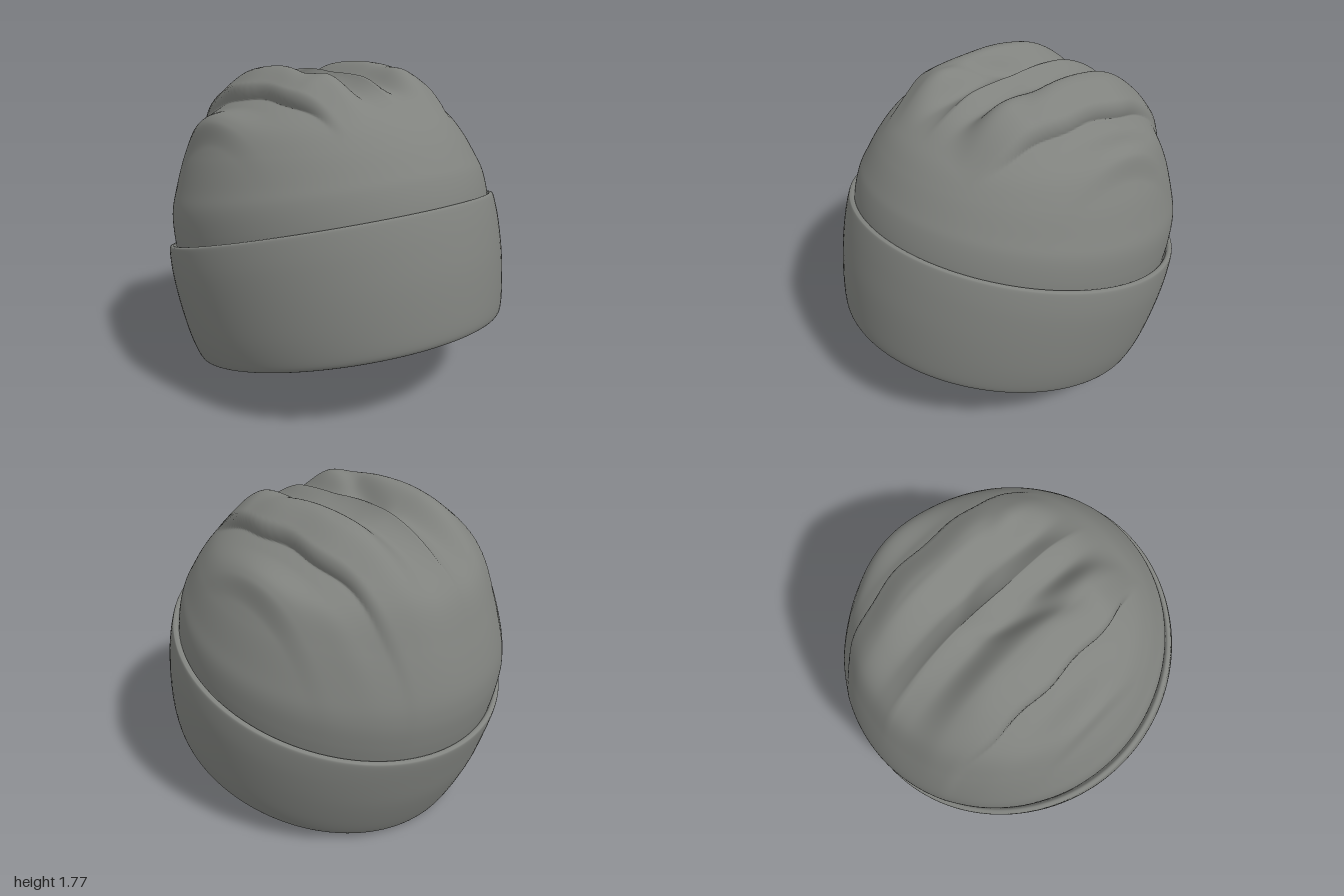
import * as THREE from 'three';
import { mergeVertices } from 'three/addons/utils/BufferGeometryUtils.js';

const { smoothstep } = THREE.MathUtils;
const gauss = (v, w) => Math.exp(-((v / w) ** 2));

// Surface through tilted oval rings: [front z, front y, back z, back y, half width]
function loft(rings, steps, sides, shape) {
  const front = new THREE.CatmullRomCurve3(rings.map(r => new THREE.Vector3(r[4], r[1], r[0])), false, 'catmullrom', 0.5);
  const back = new THREE.CatmullRomCurve3(rings.map(r => new THREE.Vector3(0, r[3], r[2])), false, 'catmullrom', 0.5);
  const rows = (rings.length - 1) * steps;
  const pos = [], index = [];
  for (let i = 0; i <= rows; i++) {
    const f = front.getPoint(i / rows), b = back.getPoint(i / rows);
    for (let j = 0; j < sides; j++) {
      const a = (j / sides) * Math.PI * 2, k = (1 + Math.cos(a)) / 2;
      const p = new THREE.Vector3(f.x * Math.sin(a), b.y + (f.y - b.y) * k, b.z + (f.z - b.z) * k);
      if (shape) shape(p);
      pos.push(p.x, p.y, p.z);
      if (i < rows) {
        const j2 = (j + 1) % sides, r = i * sides, s = r + sides;
        index.push(r + j, r + j2, s + j, r + j2, s + j2, s + j);
      }
    }
  }
  let geo = new THREE.BufferGeometry();
  geo.setAttribute('position', new THREE.Float32BufferAttribute(pos, 3));
  geo.setIndex(index);
  geo = mergeVertices(geo, 1e-4);
  geo.computeVertexNormals();
  return geo;
}

// Gathered cloth folds running from front to back over the crown
function fold(p) {
  const { x, z } = p, u = Math.abs(x), side = Math.sign(x);
  const env = (1 - smoothstep(z, 0.2, 0.56)) * smoothstep(z, -1.0, -0.35);
  const edge = 0.43 - 0.1 * (z + 0.25) ** 2 + 0.008 * Math.sin(z * 17 + side);
  const d = u - edge;
  // large rounded, overhanging fold on each side
  let h = 0.122 * smoothstep(u, 0.1, 0.29) * (1 - 0.45 * smoothstep(d, -0.12, 0)) * (1 - smoothstep(d, -0.015, 0.03));
  const lip = 0.042 * smoothstep(d, -0.14, -0.005) * (1 - smoothstep(d, 0, 0.045));
  // central ridge, sharper toward the back
  h += 0.075 * Math.exp(-u / (x < 0 ? 0.045 : 0.08)) * (1 - 0.3 * smoothstep(z, -0.3, 0));
  // valleys that spread diagonally from the middle, deeper on one side
  const spread = 0.06 + 0.5 * Math.max(0, z + 0.3);
  h -= (x < 0 ? 0.035 : 0.018) * gauss(u - spread, 0.07) * smoothstep(z, -0.4, -0.2) * (1 - smoothstep(z, 0, 0.25));
  // soft wrinkles at the front end
  h += 0.012 * Math.cos(u * 30) * gauss(z - 0.25, 0.2) * (1 - smoothstep(u, 0.25, 0.4));
  h *= env;
  // small outer pleat
  const pleat = gauss(z + 0.2, 0.26) * smoothstep(u, 0.54, 0.67) * (1 - smoothstep(u, 0.685, 0.75));
  // slanting wrinkle toward the back
  const slant = gauss(u - 0.6 - 0.25 * (z + 0.55), 0.05) * gauss(z + 0.6, 0.16);
  h += 0.038 * pleat + 0.016 * slant;
  p.y += h;
  p.z += h * 0.5 * (z + 0.1);
  p.x += side * (lip * env + 0.02 * pleat);
}

export function createModel() {
  const wool = new THREE.MeshStandardMaterial({ color: 0x80827e, side: THREE.DoubleSide });
  wool.name = 'grey wool';
  const group = new THREE.Group();
  group.name = 'beanie';
  const add = (name, geo) => {
    const mesh = new THREE.Mesh(geo, wool);
    mesh.name = name;
    group.add(mesh);
  };

  // Domed crown of thin cloth with folds, hollow inside
  add('crown', loft([
    [0.87, 1.04, -0.95, 0.56, 0.885],
    [0.85, 1.15, -0.985, 0.72, 0.89],
    [0.815, 1.25, -1.0, 0.86, 0.88],
    [0.775, 1.32, -0.985, 1.0, 0.845],
    [0.69, 1.435, -0.92, 1.21, 0.78],
    [0.59, 1.53, -0.83, 1.41, 0.69],
    [0.45, 1.605, -0.68, 1.53, 0.55],
    [0.28, 1.65, -0.50, 1.615, 0.38],
    [0.08, 1.675, -0.30, 1.665, 0.18],
    [-0.11, 1.68, -0.11, 1.68, 0],
  ], 14, 220, fold));

  // Turned-up cuff: inner face down to the lower rim, up the outside, over the upper rim
  add('cuff', loft([
    [0.87, 1.04, -0.95, 0.56, 0.885],
    [0.895, 0.86, -0.89, 0.36, 0.885],
    [0.92, 0.68, -0.815, 0.19, 0.865],
    [0.938, 0.52, -0.735, 0.045, 0.825],
    [0.948, 0.478, -0.722, 0.015, 0.818],
    [0.972, 0.47, -0.75, 0.003, 0.835],
    [0.998, 0.51, -0.785, 0.025, 0.865],
    [0.99, 0.65, -0.84, 0.13, 0.90],
    [0.965, 0.83, -0.91, 0.30, 0.925],
    [0.925, 1.0, -0.96, 0.47, 0.938],
    [0.887, 1.12, -0.994, 0.605, 0.932],
    [0.872, 1.14, -0.99, 0.633, 0.92],
    [0.852, 1.13, -0.965, 0.628, 0.897],
    [0.85, 1.06, -0.94, 0.55, 0.875],
  ], 6, 128));

  return group;
}
